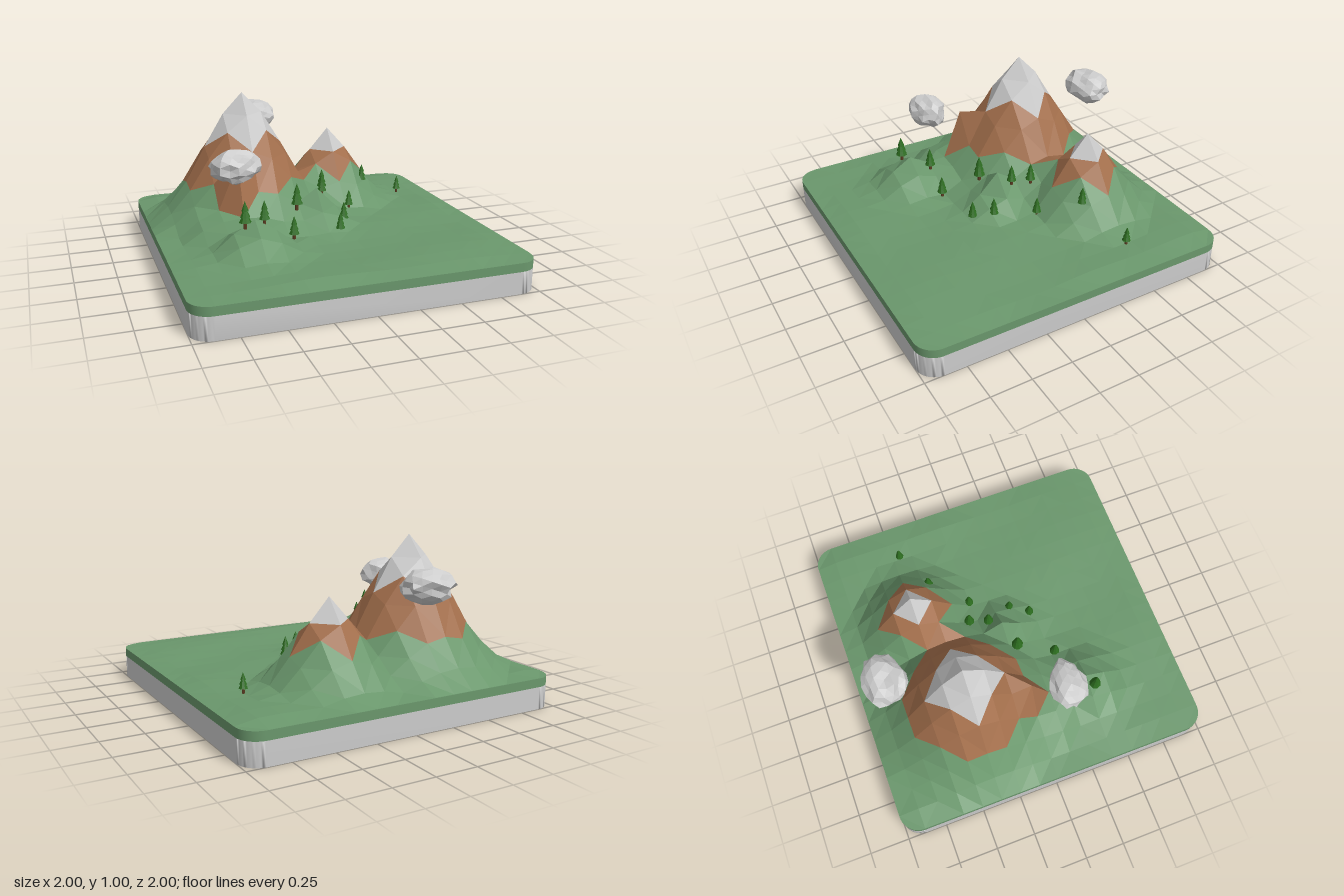
import * as THREE from 'three';
import { mergeVertices, toCreasedNormals } from 'three/addons/utils/BufferGeometryUtils.js';

const mat = (color, flatShading = true) => new THREE.MeshStandardMaterial({ color, flatShading });
const GREEN = 0x6a976c, ROCK = 0xa36f4c, GREY = 0xcccccc, LEAF = 0x2b6b1e, BARK = 0x5a3a20;
const GROUND = 0.19, N = 16, STEP = 2 / N;

function add(parent, name, geometry, material) {
  const mesh = new THREE.Mesh(geometry, material);
  mesh.name = name;
  parent.add(mesh);
  return mesh;
}

// Square plate with rounded corners, lying flat between two heights
function plate(y0, y1, r = 0.12) {
  const s = new THREE.Shape();
  s.absarc(1 - r, 1 - r, r, 0, Math.PI / 2);
  s.absarc(r - 1, 1 - r, r, Math.PI / 2, Math.PI);
  s.absarc(r - 1, r - 1, r, Math.PI, Math.PI * 1.5);
  s.absarc(1 - r, r - 1, r, Math.PI * 1.5, Math.PI * 2);
  const g = new THREE.ExtrudeGeometry(s, { depth: y1 - y0, bevelEnabled: false, curveSegments: 8 });
  return g.rotateX(-Math.PI / 2).translate(0, y0, 0);
}

// Peaks: centre x, z, then heights at fixed distances from the centre
const peaks = [
  { x: -0.375, z: -0.375, p: [[0, 1], [0.125, 0.87], [0.177, 0.77], [0.25, 0.665], [0.375, 0.445], [0.5, 0.29], [0.64, 0.19]] },
  { x: 0.25, z: -0.5, p: [[0, 0.7], [0.125, 0.56], [0.25, 0.385], [0.375, 0.24], [0.48, 0.19]] },
  { x: -0.5, z: 0, p: [[0, 0.64], [0.125, 0.33], [0.25, 0.3], [0.375, 0.19]] },
  { x: -0.5, z: 0.375, p: [[0, 0.4], [0.125, 0.325], [0.25, 0.225], [0.35, 0.19]] },
  { x: 0, z: 0, p: [[0, 0.435], [0.125, 0.31], [0.25, 0.22], [0.36, 0.19]] },
];

function profile(points, r) {
  for (let i = 1; i < points.length; i++) {
    const [r0, h0] = points[i - 1], [r1, h1] = points[i];
    if (r <= r1) return h0 + (h1 - h0) * (r - r0) / (r1 - r0);
  }
  return GROUND;
}

// Terrain grid point; the rim meets the plate
function point(i, j) {
  let x = -1 + i * STEP, z = -1 + j * STEP;
  const rim = i === 0 || j === 0 || i === N || j === N;
  let h = GROUND + 0.012 * (1 + Math.sin(x * 5 + z * 3) * Math.cos(z * 6 - x * 2));
  for (const k of peaks) h = Math.max(h, profile(k.p, Math.hypot(x - k.x, z - k.z)));
  if (rim) h = GROUND;
  if (rim && Math.abs(x) === 1 && Math.abs(z) === 1) { x *= 0.964; z *= 0.964; }
  return new THREE.Vector3(x, h, z);
}

// Faceted ground, split into grass, rock and snow by the height of each face
function terrain(parent) {
  const layers = { grass: [], rock: [], snow: [] };
  const face = (...tri) => {
    const h = (tri[0].y + tri[1].y + tri[2].y) / 3;
    const x = (tri[0].x + tri[1].x + tri[2].x) / 3;
    const kind = h > (x > 0 ? 0.58 : 0.72) ? 'snow' : h > 0.425 ? 'rock' : 'grass';
    layers[kind].push(...tri);
  };
  for (let i = 0; i < N; i++) for (let j = 0; j < N; j++) {
    const a = point(i, j), b = point(i, j + 1), c = point(i + 1, j + 1), d = point(i + 1, j);
    // cut each cell along its more level diagonal
    if (Math.abs(a.y - c.y) < Math.abs(b.y - d.y)) { face(a, b, c); face(a, c, d); }
    else { face(a, b, d); face(b, c, d); }
  }
  const colors = { grass: GREEN, rock: ROCK, snow: GREY };
  for (const kind in layers) {
    const g = new THREE.BufferGeometry().setFromPoints(layers[kind]);
    g.computeVertexNormals();
    add(parent, kind, g, mat(colors[kind]));
  }
}

// Lumpy faceted cloud
function cloud(parent, seed, [x, y, z], [rx, ry, rz]) {
  const g = new THREE.IcosahedronGeometry(1, 2);
  const pos = g.attributes.position, v = new THREE.Vector3();
  for (let i = 0; i < pos.count; i++) {
    v.fromBufferAttribute(pos, i).normalize();
    const key = Math.round(v.x * 100) * 12.99 + Math.round(v.y * 100) * 78.23 + Math.round(v.z * 100) * 37.72;
    const n = Math.sin(key + seed) * 43758.5;
    v.multiplyScalar(0.8 + 0.26 * (n - Math.floor(n)));
    pos.setXYZ(i, v.x, v.y, v.z);
  }
  g.scale(rx, ry, rz);
  g.computeVertexNormals();
  add(parent, 'cloud', g, mat(GREY)).position.set(x, y, z);
}

// Conifer: trunk and three stacked cones, one unit tall
function tree(parent, x, y, z, h) {
  const t = new THREE.Group();
  t.name = 'tree';
  add(t, 'trunk', new THREE.CylinderGeometry(0.06, 0.07, 0.35, 7).translate(0, 0.175, 0), mat(BARK));
  [[0.22, 0.42, 0.24], [0.18, 0.38, 0.43], [0.13, 0.36, 0.64]].forEach(([r, ch, base]) =>
    add(t, 'foliage', new THREE.ConeGeometry(r, ch, 8).translate(0, base + ch / 2, 0), mat(LEAF)));
  t.position.set(x, y, z);
  t.scale.setScalar(h);
  parent.add(t);
}

export function createModel() {
  const model = new THREE.Group();
  model.name = 'mountainDiorama';

  // Softly shaded base and green plate
  const base = plate(0, 0.135);
  base.deleteAttribute('normal');
  base.deleteAttribute('uv');
  const softBase = mergeVertices(base, 1e-4);
  softBase.computeVertexNormals();
  add(model, 'base', softBase, mat(GREY, false));
  add(model, 'groundPlate', toCreasedNormals(plate(0.135, 0.188), 0.6), mat(GREEN, false));

  const land = new THREE.Group();
  land.name = 'terrain';
  terrain(land);
  model.add(land);

  cloud(model, 1, [-0.57, 0.67, 0.2], [0.158, 0.104, 0.118]);
  cloud(model, 5, [-0.2, 0.767, -0.8], [0.17, 0.102, 0.138]);

  // x, base height, z, tree height
  [[-0.565, 0.36, 0.405, 0.165], [-0.415, 0.325, 0.27, 0.15], [-0.235, 0.215, 0.275, 0.145],
    [-0.145, 0.32, 0.05, 0.17], [0.08, 0.2, 0.22, 0.135], [0.145, 0.22, 0.105, 0.14],
    [0.06, 0.36, -0.07, 0.14], [0.1, 0.355, -0.185, 0.145], [0.27, 0.23, -0.13, 0.13],
    [0.445, 0.325, -0.345, 0.14], [0.76, 0.205, -0.455, 0.12],
  ].forEach((t) => tree(model, ...t));
  return model;
}
